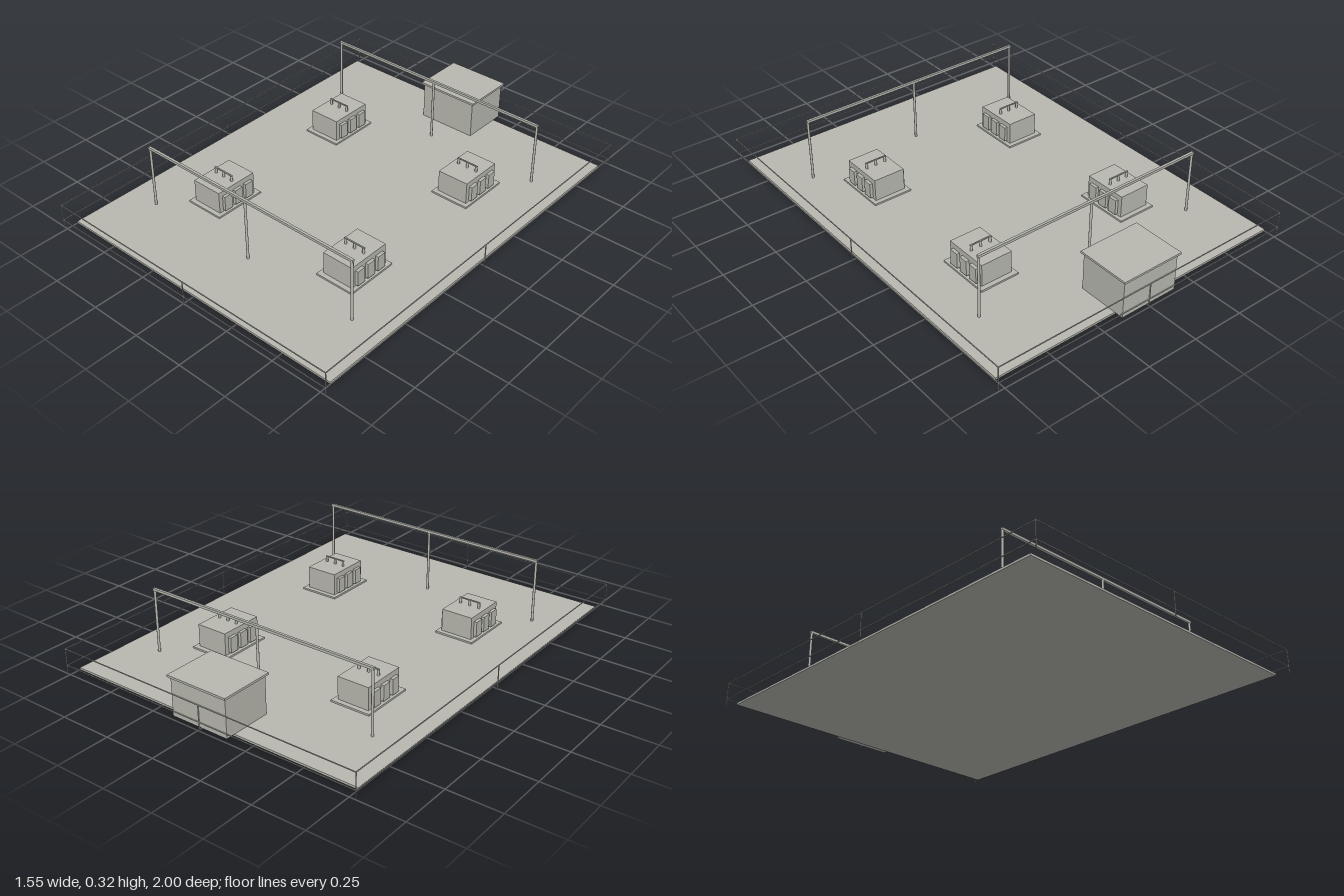
import * as THREE from 'three';

export function createModel() {
  const model = new THREE.Group();
  model.name = 'substationYard';
  const concrete = new THREE.MeshStandardMaterial({ color: 0xb8b8b0 });
  concrete.name = 'concrete grey';

  // Box given by its x, y and z ranges
  function box(name, parent, x0, x1, y0, y1, z0, z1) {
    const mesh = new THREE.Mesh(new THREE.BoxGeometry(x1 - x0, y1 - y0, z1 - z0), concrete);
    mesh.position.set((x0 + x1) / 2, (y0 + y1) / 2, (z0 + z1) / 2);
    mesh.name = name;
    parent.add(mesh);
  }

  // Upright round post
  function post(name, parent, x, z, y0, y1, radius) {
    const mesh = new THREE.Mesh(new THREE.CylinderGeometry(radius, radius, y1 - y0, 12), concrete);
    mesh.position.set(x, (y0 + y1) / 2, z);
    mesh.name = name;
    parent.add(mesh);
  }

  function group(name) {
    const g = new THREE.Group();
    g.name = name;
    model.add(g);
    return g;
  }

  // Ground slab
  box('groundSlab', model, -0.75, 0.75, 0, 0.01, -0.945, 0.945);

  // Control building with overhanging flat roof
  const building = group('controlBuilding');
  box('walls', building, -0.145, 0.145, 0.01, 0.19, -0.989, -0.752);
  box('roof', building, -0.155, 0.155, 0.19, 0.2, -1, -0.742);

  // Four transformers
  for (const sx of [-1, 1]) {
    for (const sz of [-1, 1]) {
      const t = group('transformer');
      t.position.set(sx * 0.388, 0, sz * 0.389);
      box('plinth', t, -0.097, 0.097, 0.01, 0.018, -0.13, 0.13);
      box('tank', t, -0.078, 0.078, 0.018, 0.125, -0.107, 0.107);
      for (const z of [-0.064, 0, 0.064]) {
        for (const s of [-1, 1]) {
          const a = s * 0.077, b = s * 0.093;
          box('radiator', t, Math.min(a, b), Math.max(a, b), 0.026, 0.1, z - 0.022, z + 0.022);
        }
      }
      for (const x of [-0.049, 0, 0.049]) post('bushing', t, x, 0, 0.125, 0.153, 0.006);
      box('busBar', t, -0.055, 0.055, 0.15, 0.155, -0.003, 0.003);
    }
  }

  // Two overhead gantries
  for (const z of [-0.63, 0.63]) {
    const gantry = group('gantry');
    for (const x of [-0.584, 0, 0.584]) post('gantryPost', gantry, x, z, 0.01, 0.31, 0.006);
    box('gantryBeam', gantry, -0.59, 0.59, 0.307, 0.319, z - 0.006, z + 0.006);
  }

  // Perimeter fence: thin posts and two rails
  const fence = group('fence');
  const r = 0.0018, fx = 0.775, back = -0.992, front = 0.997;
  for (const x of [-fx, 0, fx]) {
    for (const z of [back, 0, front]) {
      if (x === 0 && z === 0) continue;
      box('fencePost', fence, x - r, x + r, 0, 0.115, z - r, z + r);
    }
  }
  for (const y of [0.034, 0.113]) {
    for (const z of [back, front]) box('fenceRail', fence, -fx, fx, y - r, y + r, z - r, z + r);
    for (const x of [-fx, fx]) box('fenceRail', fence, x - r, x + r, y - r, y + r, back, front);
  }

  return model;
}
